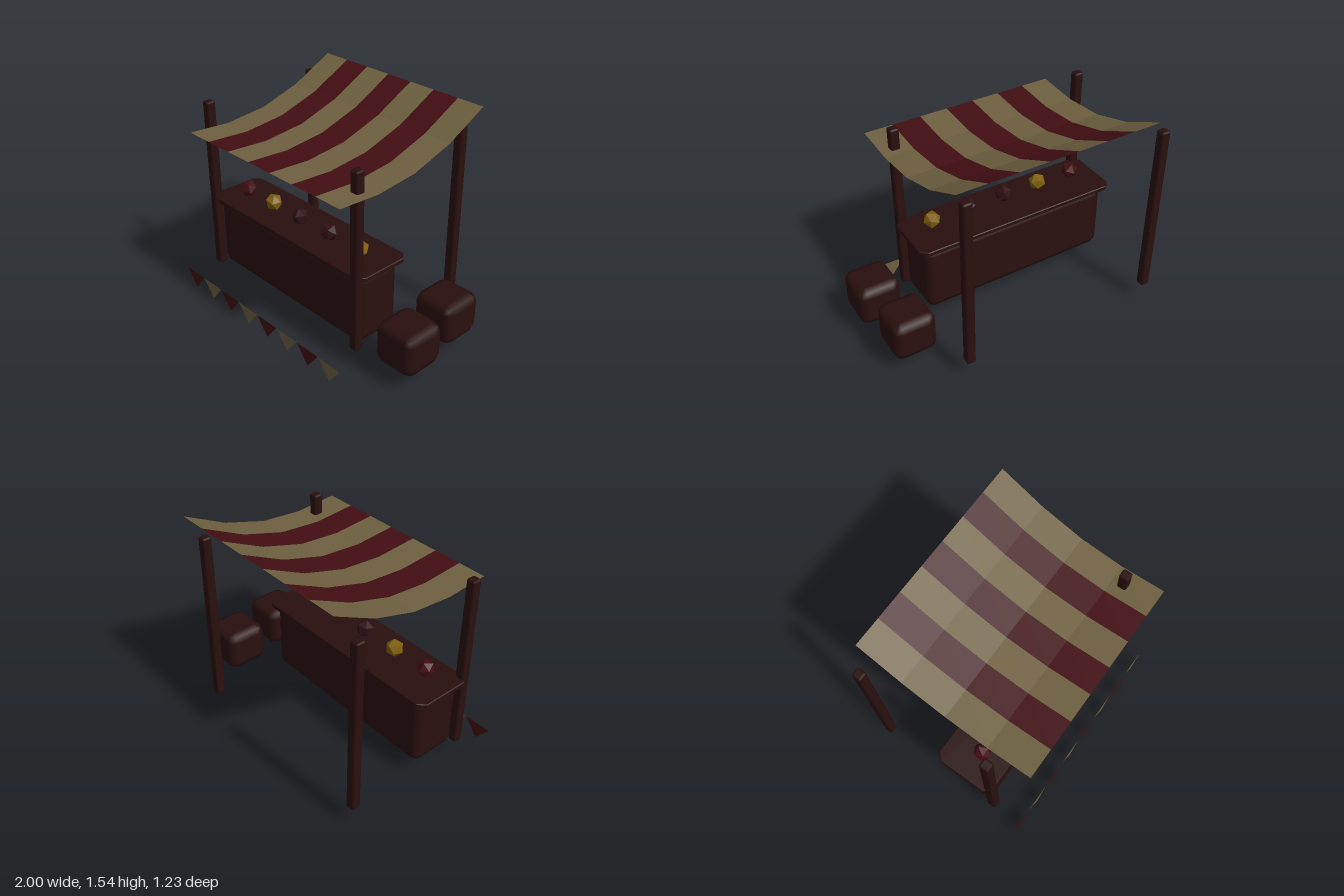
import * as THREE from 'three';
import { RoundedBoxGeometry } from 'three/addons/geometries/RoundedBoxGeometry.js';

const mat = (name, color, extra = {}) => {
  const m = new THREE.MeshStandardMaterial({ color, ...extra });
  m.name = name;
  return m;
};

export function createModel() {
  const root = new THREE.Group();
  root.name = 'marketStall';
  const wood = mat('darkWood', 0x2a0f0f);
  const cream = mat('creamCloth', 0x6e6040, { side: THREE.DoubleSide });
  const red = mat('redCloth', 0x430e13, { side: THREE.DoubleSide });
  const gold = mat('goldGoods', 0x80600f, { flatShading: true });
  const crimson = mat('crimsonGoods', 0x430e13, { flatShading: true });
  const maroon = mat('maroonGoods', 0x2e0f13, { flatShading: true });

  const add = (name, geo, material, x = 0, y = 0, z = 0) => {
    const mesh = new THREE.Mesh(geo, material);
    mesh.name = name;
    mesh.position.set(x, y, z);
    root.add(mesh);
    return mesh;
  };
  const box = (w, h, d, r) => new RoundedBoxGeometry(w, h, d, 1, r);

  // Four posts
  for (const x of [-0.9, 0.535]) {
    for (const z of [0.377, -0.543]) add('post', box(0.065, 1.275, 0.065, 0.013), wood, x, 0.7725, z);
  }

  // Counter body and its overhanging top with cut corners
  add('counter', box(1.435, 0.505, 0.35, 0.055), wood, -0.183, 0.3875, 0.175);
  const hx = 0.762, hz = 0.21, c = 0.045;
  const plan = new THREE.Shape([
    [-hx + c, -hz], [hx - c, -hz], [hx, -hz + c], [hx, hz - c],
    [hx - c, hz], [-hx + c, hz], [-hx, hz - c], [-hx, -hz + c],
  ].map(([x, y]) => new THREE.Vector2(x, y)));
  const top = new THREE.ExtrudeGeometry(plan, {
    depth: 0.024, bevelSize: 0.005, bevelThickness: 0.005, bevelSegments: 1,
  });
  top.rotateX(-Math.PI / 2);
  add('counterTop', top, wood, -0.183, 0.648, 0.175);

  // Crates beside the stall
  add('crate', box(0.308, 0.295, 0.305, 0.06), wood, 0.795, 0.2825, -0.187);
  add('crate', box(0.308, 0.295, 0.305, 0.06), wood, 0.846, 0.2825, 0.226);

  // Goods on the counter, each turned a little differently
  [crimson, gold, maroon, maroon, gold].forEach((m, i) => {
    const item = add('goods', new THREE.IcosahedronGeometry(0.062, 0), m, -0.748 + i * 0.283, 0.738, 0.2);
    item.rotation.set(0.55, i * 0.9, 0.1 * (i % 3));
  });

  // Sagging striped canopy, seven strips of cloth
  const heights = [1.54, 1.385, 1.29, 1.26, 1.28];
  const depth = 1.23, stripe = 1.43 / 7;
  for (let i = 0; i < 7; i++) {
    const plane = new THREE.PlaneGeometry(stripe, depth, 1, 4).rotateX(-Math.PI / 2);
    const p = plane.attributes.position;
    for (let k = 0; k < p.count; k++) p.setY(k, heights[Math.round((p.getZ(k) / depth + 0.5) * 4)]);
    const strip = plane.toNonIndexed();
    strip.computeVertexNormals();
    add('canopyStripe', strip, i % 2 ? red : cream, -0.795 + stripe * (i + 0.5), 0, -0.005);
  }

  // Row of pennants in front
  const flag = new THREE.ShapeGeometry(new THREE.Shape([
    new THREE.Vector2(-0.1, 0.13), new THREE.Vector2(0, 0), new THREE.Vector2(0.1, 0.13),
  ]));
  for (let i = 0; i < 8; i++) add('pennant', flag, i % 2 ? cream : red, -0.9 + i * 0.205, 0, 0.612);

  return root;
}
